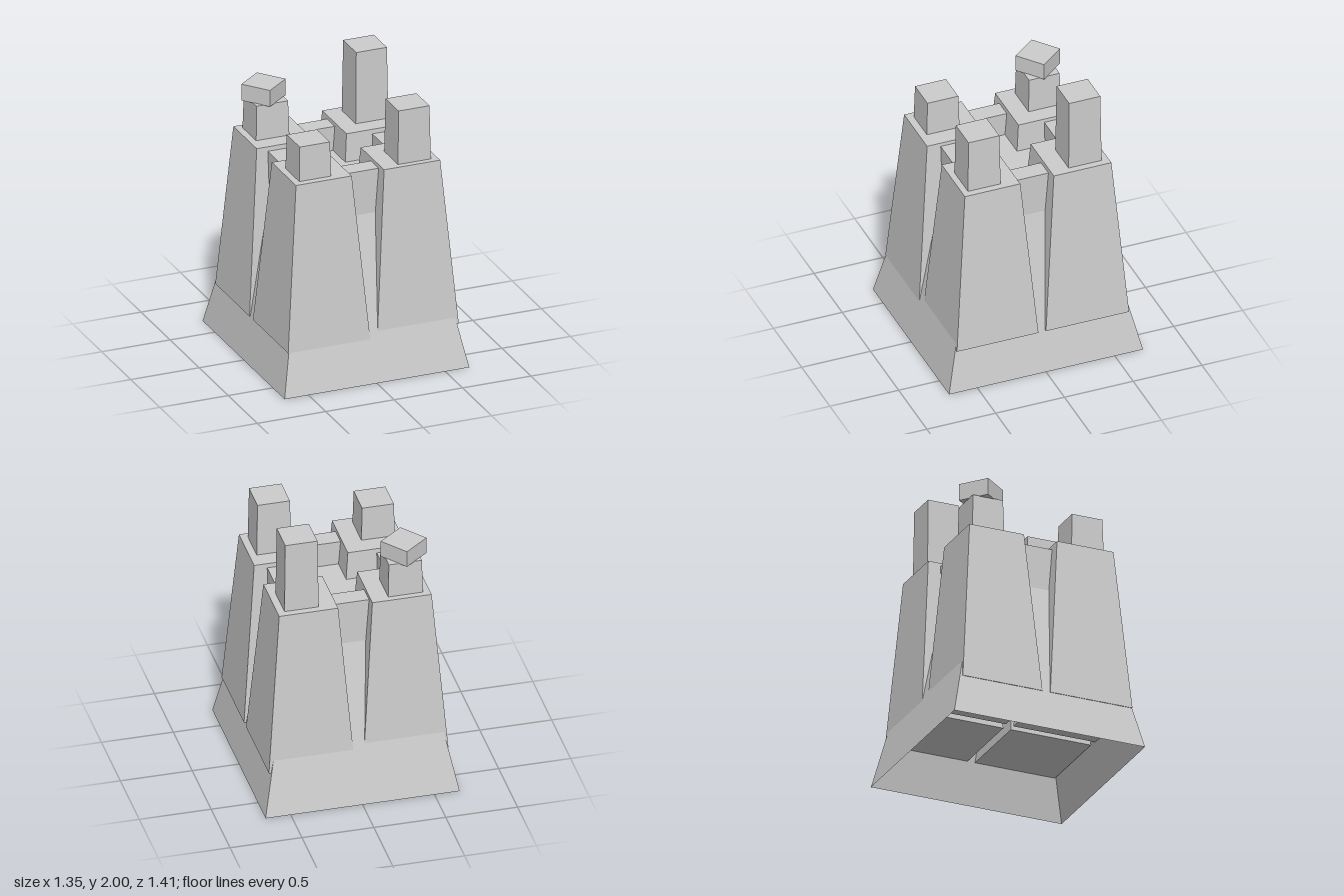
import * as THREE from 'three';

const material = new THREE.MeshStandardMaterial({ color: 0xcccccc, flatShading: true, side: THREE.DoubleSide });

// Tapered block between two rectangles [x0, x1, z0, z1] at heights y0 and y1.
function taperedBlock(name, y0, bottom, y1, top, openBottom = false) {
  const geo = new THREE.BoxGeometry(1, 1, 1);
  const p = geo.attributes.position;
  for (let i = 0; i < p.count; i++) {
    const upper = p.getY(i) > 0;
    const r = upper ? top : bottom;
    p.setXYZ(i, p.getX(i) > 0 ? r[1] : r[0], upper ? y1 : y0, p.getZ(i) > 0 ? r[3] : r[2]);
  }
  if (openBottom) {
    // drop the two triangles of the underside
    const index = Array.from(geo.index.array);
    index.splice(18, 6);
    geo.setIndex(index);
    geo.clearGroups();
  }
  geo.computeVertexNormals();
  const mesh = new THREE.Mesh(geo, material);
  mesh.name = name;
  return mesh;
}

const inset = ([x0, x1, z0, z1], d) => [x0 + d, x1 - d, z0 + d, z1 - d];

export function createModel() {
  const model = new THREE.Group();
  model.name = 'fourTowerBlock';

  // Hollow sloping base, whose top is the sunken floor between the towers
  model.add(taperedBlock('base', 0, [-0.675, 0.675, -0.705, 0.705], 1.28, [-0.419, 0.419, -0.41, 0.41], true));

  // Four tapered corner towers, each with a chimney of its own height
  const towers = [
    { name: 'frontLeft', bottom: [0.035, 0.63, 0.037, 0.629], top: [0.125, 0.535, 0.13, 0.533],
      chimney: [0.245, 0.485, 0.252, 0.49], height: 1.87 },
    { name: 'frontRight', bottom: [-0.62, -0.02, 0.03, 0.637], top: [-0.522, -0.115, 0.124, 0.541],
      chimney: [-0.477, -0.243, 0.252, 0.49], height: 1.73 },
    { name: 'backLeft', bottom: [0.035, 0.63, -0.622, -0.018], top: [0.125, 0.535, -0.532, -0.114],
      chimney: [0.247, 0.485, -0.482, -0.242], height: 2 },
    { name: 'backRight', bottom: [-0.62, -0.03, -0.617, -0.028], top: [-0.527, -0.115, -0.525, -0.123],
      chimney: [-0.479, -0.236, -0.482, -0.246], height: 1.73 },
  ];
  for (const t of towers) {
    const tower = new THREE.Group();
    tower.name = t.name + 'Tower';
    tower.add(
      taperedBlock('shaft', 0.3, t.bottom, 1.48, t.top),
      taperedBlock('chimney', 1.47, t.chimney, t.height, inset(t.chimney, 0.007)),
    );
    model.add(tower);
  }

  // Turned cap block lying on the back right chimney
  const cap = new THREE.Mesh(new THREE.BoxGeometry(0.22, 0.12, 0.22), material);
  cap.name = 'chimneyCap';
  cap.position.set(-0.373, 1.787, -0.37);
  cap.rotation.y = 0.67;
  model.add(cap);

  // Short parapet walls closing the gaps between towers
  const walls = [
    ['frontWall', [-0.12, 0.13, 0.31, 0.443], 1.455],
    ['backWall', [-0.12, 0.13, -0.443, -0.31], 1.455],
    ['leftWall', [0.312, 0.445, -0.12, 0.132], 1.448],
    ['rightWall', [-0.447, -0.315, -0.126, 0.128], 1.448],
  ];
  for (const [name, rect, top] of walls) model.add(taperedBlock(name, 1.1, rect, top, rect));

  return model;
}
